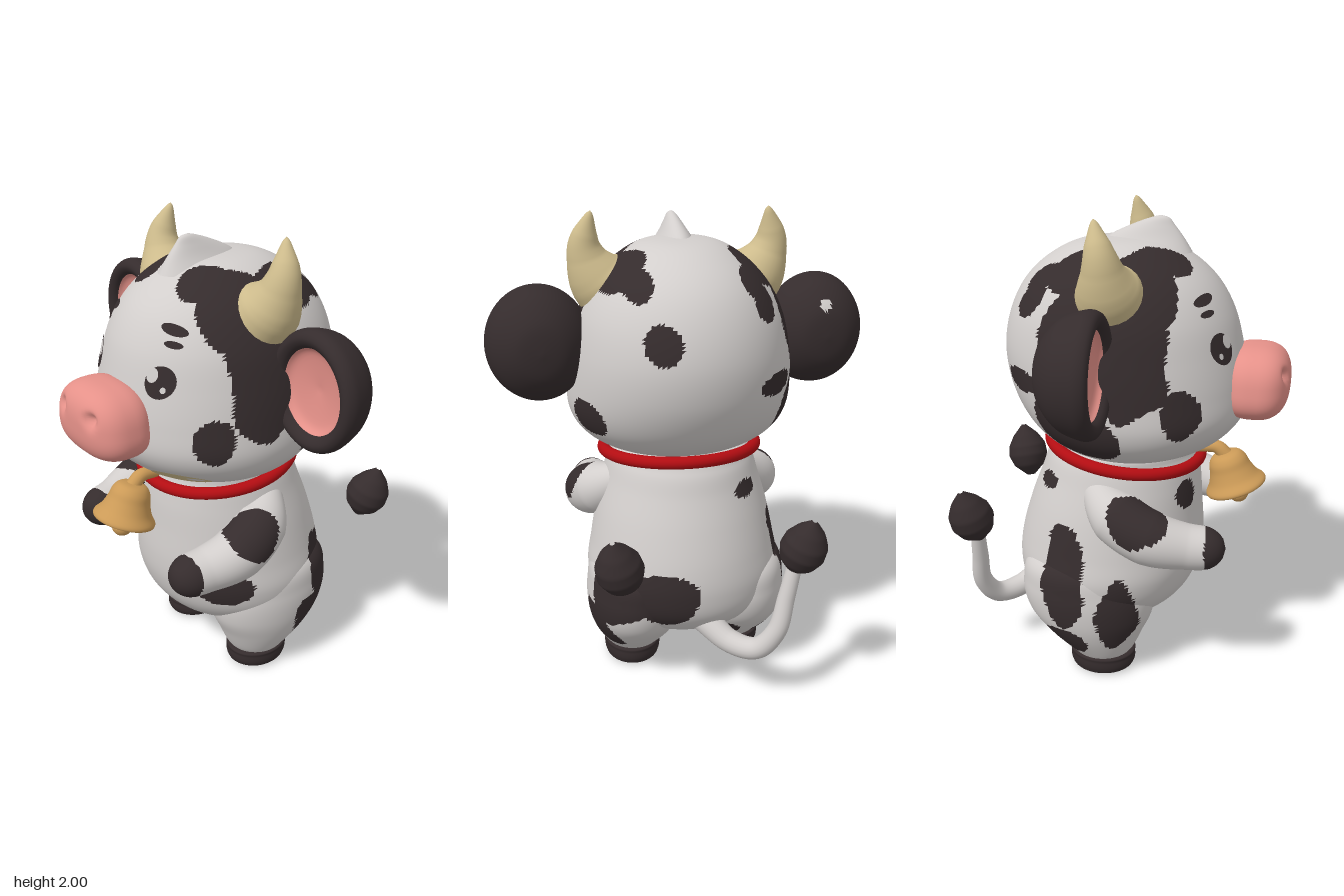
import * as THREE from 'three';
import { mergeVertices } from 'three/addons/utils/BufferGeometryUtils.js';

const V = (x, y, z) => new THREE.Vector3(x, y, z);

export function createModel() {
  const model = new THREE.Group();
  model.name = 'calf';
  const mat = (name, color) => Object.assign(new THREE.MeshStandardMaterial({ color }), { name });
  const white = mat('white hide', 0xd2cecc);
  const dark = mat('dark hide', 0x352c2d);
  const pink = mat('pink skin', 0xe59189);
  const horn = mat('horn', 0xcdbb8c);
  const red = mat('red collar', 0xb30d12);
  const brass = mat('brass', 0xcb9a57);

  const add = (name, geo, material, parent = model) => {
    const m = new THREE.Mesh(geo, material);
    m.name = name;
    parent.add(m);
    return m;
  };
  // weld seams and recompute smooth normals
  const weld = (geo) => {
    geo.deleteAttribute('uv');
    geo.deleteAttribute('normal');
    const g = mergeVertices(geo, 1e-5);
    g.clearGroups();
    g.computeVertexNormals();
    return g;
  };

  // stacked elliptical rings; rows are [y, half width, z front, z back]
  const loft = (rows, cx = 0, around = 80, up = 50) => {
    const spline = (f) => new THREE.CatmullRomCurve3(rows.map(f), false, 'catmullrom');
    const a = spline((r) => V(r[0], r[1], r[2]));
    const b = spline((r) => V(r[0], r[1], r[3]));
    const pos = [], idx = [];
    for (let i = 0; i <= up; i++) {
      const p = a.getPoint(i / up), back = b.getPoint(i / up).z;
      for (let j = 0; j < around; j++) {
        const t = (j / around) * Math.PI * 2;
        pos.push(cx + Math.max(p.y, 0) * Math.sin(t), p.x,
          (p.z + back) / 2 + ((p.z - back) / 2) * Math.cos(t));
        if (i === up) continue;
        const k = (j + 1) % around, q = i * around, n = q + around;
        idx.push(q + j, q + k, n + k, q + j, n + k, n + j);
      }
    }
    const g = new THREE.BufferGeometry();
    g.setAttribute('position', new THREE.Float32BufferAttribute(pos, 3));
    g.setIndex(idx);
    return weld(g);
  };

  // tube with varying radius and a rounded end
  const taper = (pts, radii, round = 0, seg = 60, sides = 36) => {
    const curve = new THREE.CatmullRomCurve3(pts.map((p) => V(...p)));
    const g = new THREE.TubeGeometry(curve, seg, 1, sides);
    const p = g.attributes.position, v = V(0, 0, 0);
    for (let i = 0; i <= seg; i++) {
      const t = i / seg, c = curve.getPointAt(t);
      const f = t * (radii.length - 1), k = Math.min(Math.floor(f), radii.length - 2);
      let r = THREE.MathUtils.lerp(radii[k], radii[k + 1], f - k);
      if (round && t > 1 - round) r *= Math.sqrt(Math.max(0, 1 - ((t - 1 + round) / round) ** 2));
      for (let j = 0; j <= sides; j++) {
        const n = i * (sides + 1) + j;
        v.fromBufferAttribute(p, n).sub(c).multiplyScalar(r).add(c);
        p.setXYZ(n, v.x, v.y, v.z);
      }
    }
    return weld(g);
  };

  // faces inside any wobbly ellipsoid [x, y, z, rx, ry, rz] take the second material
  const paint = (geo, spots) => {
    const p = geo.attributes.position, ix = geo.index.array, sets = [[], []];
    for (let i = 0; i < ix.length; i += 3) {
      const t = [ix[i], ix[i + 1], ix[i + 2]];
      const [x, y, z] = ['getX', 'getY', 'getZ'].map((f) => (p[f](t[0]) + p[f](t[1]) + p[f](t[2])) / 3);
      const wob = 1 + 0.1 * Math.sin(23 * y + 9 * z) + 0.08 * Math.sin(27 * z + 19 * x + 2);
      const hit = spots.some((s) =>
        Math.hypot((x - s[0]) / s[3], (y - s[1]) / s[4], (z - s[2]) / s[5]) < wob);
      sets[hit ? 1 : 0].push(...t);
    }
    geo.setIndex([...sets[0], ...sets[1]]);
    geo.addGroup(0, sets[0].length, 0);
    geo.addGroup(sets[0].length, sets[1].length, 1);
    return geo;
  };
  const hide = [white, dark];

  // head
  const forehead = [
    [0.31, 1.75, 0.11, 0.2, 0.15, 0.19], [0.17, 1.82, 0.2, 0.1, 0.07, 0.13],
    [0.45, 1.5, 0.09, 0.15, 0.26, 0.17], [0.29, 1.82, -0.12, 0.12, 0.14, 0.16],
    [0.23, 1.76, -0.3, 0.06, 0.09, 0.1], [0.4, 1.27, 0.31, 0.1, 0.105, 0.08],
  ];
  const headSpots = [
    ...forehead, ...forehead.map(([x, ...r]) => [-x, ...r]),
    [0.42, 1.2, -0.18, 0.13, 0.085, 0.09], [0.16, 1.55, -0.47, 0.07, 0.085, 0.1],
    [-0.42, 1.58, -0.13, 0.15, 0.2, 0.13], [-0.42, 1.2, -0.12, 0.16, 0.17, 0.18],
    [-0.3, 1.36, -0.34, 0.13, 0.05, 0.12], [-0.27, 1.68, -0.34, 0.06, 0.08, 0.1],
  ];
  const head = add('head', paint(loft([
    [0.99, 0, 0, 0], [1.0, 0.2, 0.22, -0.16], [1.04, 0.34, 0.36, -0.27], [1.11, 0.43, 0.46, -0.37],
    [1.2, 0.47, 0.515, -0.44], [1.32, 0.468, 0.515, -0.49], [1.46, 0.45, 0.49, -0.505],
    [1.6, 0.415, 0.45, -0.475], [1.72, 0.35, 0.38, -0.41], [1.81, 0.26, 0.28, -0.31],
    [1.87, 0.15, 0.16, -0.18], [1.89, 0, 0, 0]], 0, 160, 110), headSpots), hide);
  add('forelock', loft([[1.83, 0.1, 0.27, -0.12], [1.885, 0.06, 0.235, -0.07], [1.93, 0.034, 0.2, 0.02],
    [1.96, 0.016, 0.175, 0.1], [1.97, 0, 0.14, 0.14]], 0, 32, 24), white);

  // thin face markings laid on the head surface
  const ray = new THREE.Raycaster();
  const marking = (name, x, y, rx, ry, material, lift = 0.006, tilt = 0) => {
    const g = new THREE.CircleGeometry(1, 28).scale(rx, ry, 1).rotateZ(tilt).translate(x, y, 0);
    const p = g.attributes.position;
    for (let i = 0; i < p.count; i++) {
      ray.set(V(p.getX(i), p.getY(i), 2), V(0, 0, -1));
      const hit = ray.intersectObject(head)[0];
      p.setZ(i, (hit ? hit.point.z : 0) + lift);
    }
    g.computeVertexNormals();
    add(name, g, material);
  };
  head.updateMatrixWorld();
  for (const s of [1, -1]) {
    marking('eye', s * 0.207, 1.5, 0.055, 0.062, dark);
    marking('eyeHighlight', s * 0.178, 1.525, 0.022, 0.028, white, 0.009);
    marking('eyeHighlightSmall', s * 0.225, 1.475, 0.01, 0.012, white, 0.009);
    marking('upperBrow', s * 0.195, 1.685, 0.05, 0.017, dark, 0.006, -s * 0.25);
    marking('lowerBrow', s * 0.215, 1.637, 0.032, 0.012, dark, 0.006, -s * 0.15);
  }
  marking('chinPatch', 0.23, 1.09, 0.1, 0.032, horn);
  marking('chinDot', 0.01, 1.172, 0.03, 0.015, horn);

  // snout: rounded block with dented nostrils
  const snout = new THREE.SphereGeometry(1, 72, 56);
  const sp = snout.attributes.position;
  const soft = (v) => Math.sign(v) * Math.abs(v) ** 0.75;
  for (let i = 0; i < sp.count; i++) {
    const y = soft(sp.getY(i)) * 0.147, x = soft(sp.getX(i)) * 0.21 * (1 - 0.8 * y);
    let z = soft(sp.getZ(i)) * 0.14;
    if (z > 0) z -= 0.035 * Math.exp(-((Math.abs(x) - 0.1) ** 2 + (y - 0.05) ** 2) / 0.0006);
    sp.setXYZ(i, x, y + 1.325, z + 0.55);
  }
  add('snout', weld(snout), pink);

  // ears and horns
  const lathe = (pts, n = 40) => new THREE.LatheGeometry(
    new THREE.SplineCurve(pts.map((p) => new THREE.Vector2(...p))).getPoints(n), 64);
  for (const s of [1, -1]) {
    const place = (g) => weld(g.rotateX(Math.PI / 2).scale(1, 1.12, 1).translate(s * 0.585, 1.48, 0));
    const shell = place(lathe([[0, -0.2], [0.1, -0.182], [0.18, -0.11], [0.212, -0.02],
      [0.208, 0.025], [0.185, 0.042], [0.16, 0.03], [0.145, 0]]));
    add('ear', paint(shell, s < 0 ? [[-0.58, 1.61, -0.16, 0.028, 0.03, 0.05]] : []), [dark, white]);
    add('innerEar', place(lathe([[0.152, 0.015], [0.12, -0.012], [0, -0.03]], 12)), pink);
    add('horn', taper([[s * 0.27, 1.67, 0.01], [s * 0.35, 1.76, 0], [s * 0.385, 1.86, -0.01],
      [s * 0.36, 2.0, -0.04]], [0.15, 0.125, 0.08, 0.05, 0.008], 0.06, 40, 28), horn);
  }

  // body and legs
  const bodySpots = [
    [0.33, 0.5, 0.2, 0.13, 0.075, 0.13], [-0.16, 0.85, 0.3, 0.06, 0.06, 0.1],
    [0.34, 0.47, -0.32, 0.16, 0.17, 0.14], [0.15, 0.46, -0.45, 0.12, 0.14, 0.1],
    [0.37, 0.27, -0.2, 0.14, 0.12, 0.1], [-0.42, 0.32, 0.07, 0.1, 0.2, 0.11],
    [-0.4, 0.5, -0.18, 0.14, 0.24, 0.1], [-0.36, 0.2, -0.17, 0.12, 0.08, 0.12],
    [-0.22, 0.88, -0.3, 0.065, 0.035, 0.1], [-0.15, 0.19, -0.3, 0.05, 0.06, 0.08],
  ];
  add('body', paint(loft([
    [0.215, 0, -0.08, -0.08], [0.225, 0.15, 0.1, -0.25], [0.28, 0.31, 0.22, -0.38],
    [0.37, 0.4, 0.3, -0.46], [0.48, 0.425, 0.34, -0.48], [0.6, 0.405, 0.35, -0.465],
    [0.75, 0.375, 0.34, -0.42], [0.88, 0.34, 0.33, -0.37], [0.98, 0.31, 0.31, -0.33],
    [1.04, 0.27, 0.26, -0.26], [1.06, 0, 0, 0]], 0, 120, 90), bodySpots), hide);
  for (const s of [1, -1]) {
    add('leg', paint(loft([[0.06, 0.1, 0.04, -0.16], [0.1, 0.13, 0.085, -0.2], [0.2, 0.18, 0.13, -0.31],
      [0.3, 0.205, 0.17, -0.39], [0.42, 0.205, 0.17, -0.41], [0.54, 0.17, 0.12, -0.36],
      [0.62, 0, -0.1, -0.1]], s * 0.232), bodySpots), hide);
    add('hoof', loft([[0, 0, -0.055, -0.055], [0.002, 0.1, 0.06, -0.17], [0.025, 0.122, 0.09, -0.195],
      [0.065, 0.125, 0.092, -0.198], [0.088, 0.115, 0.08, -0.185], [0.09, 0, -0.055, -0.055]],
    s * 0.236, 48, 30), dark);

    // arms with dark hand and shoulder patch
    add('arm', paint(taper([[s * 0.26, 0.88, -0.07], [s * 0.345, 0.8, 0.04], [s * 0.375, 0.735, 0.18],
      [s * 0.35, 0.7, 0.33], [s * 0.325, 0.695, 0.49]], [0.07, 0.115, 0.115, 0.095, 0.085], 0.15),
    [[s * 0.33, 0.69, 0.47, 0.13, 0.13, 0.085], [s * 0.43, 0.83, 0.14, 0.12, 0.12, 0.11]]), hide);

    // tail tufts
    add('tailTuft', taper([[s * 0.34, 0.625, -0.57], [s * 0.36, 0.7, -0.585], [s * 0.38, 0.77, -0.6],
      [s * 0.4, 0.865, -0.62]], [0.02, 0.075, 0.095, 0.09, 0.06, 0.01], 0, 32, 28), dark);
  }
  add('tail', taper([[-0.02, 0.33, -0.38], [-0.11, 0.265, -0.48], [-0.2, 0.27, -0.56],
    [-0.27, 0.37, -0.6], [-0.31, 0.52, -0.59], [-0.345, 0.67, -0.58]],
  [0.06, 0.05, 0.045, 0.04, 0.035, 0.03], 0, 60, 20), white);

  // collar and bell
  const collar = add('collar', new THREE.TorusGeometry(0.33, 0.026, 16, 80).rotateX(Math.PI / 2), red);
  collar.position.y = 0.995;
  collar.rotation.x = 0.12;
  const bell = new THREE.Group();
  bell.name = 'bell';
  bell.position.set(0, 0.83, 0.49);
  bell.rotation.x = -0.35;
  model.add(bell);
  add('bellShell', lathe([[0, 0.03], [0.09, 0.02], [0.125, -0.004], [0.132, 0.012], [0.108, 0.045],
    [0.09, 0.09], [0.08, 0.13], [0.055, 0.158], [0, 0.168]]), brass, bell);
  add('clapper', new THREE.SphereGeometry(0.044, 24, 16).translate(0, -0.03, 0), brass, bell);
  add('bellHanger', taper([[0, 0.97, 0.44], [0, 1.005, 0.4], [0, 1.0, 0.32]],
    [0.032, 0.028, 0.024], 0, 16, 16), brass);
  return model;
}
